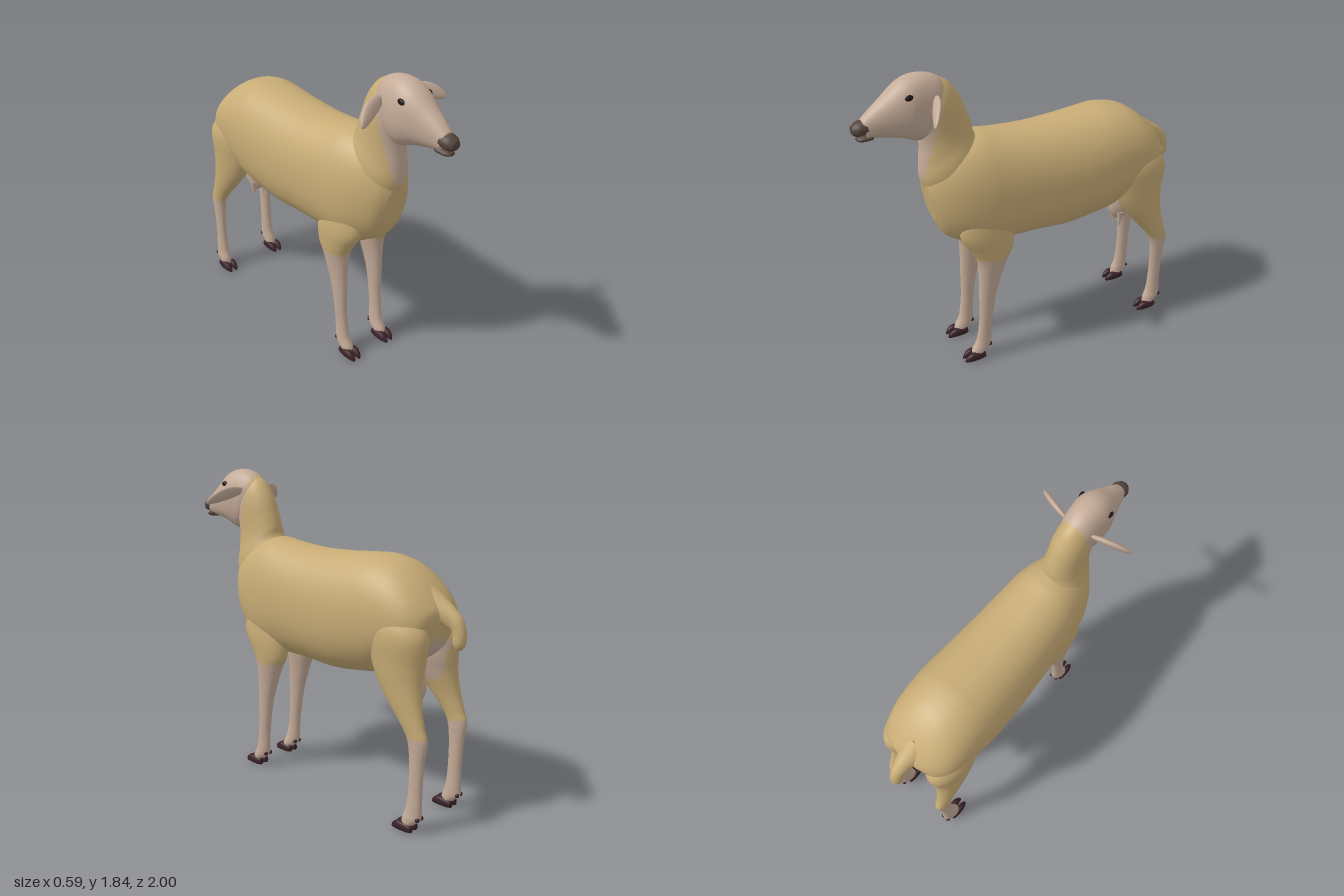
import * as THREE from 'three';

const material = (name, color) => {
  const m = new THREE.MeshStandardMaterial({ color });
  m.name = name;
  return m;
};

// Catmull-Rom through whole rows of numbers
const spline = (rows, i, t) => {
  const at = k => rows[Math.min(Math.max(k, 0), rows.length - 1)];
  const [a, b, c, d] = [at(i - 1), at(i), at(i + 1), at(i + 2)];
  return b.map((_, k) => b[k] + 0.5 * t * (c[k] - a[k] +
    t * (2 * a[k] - 5 * b[k] + 4 * c[k] - d[k] + t * (3 * (b[k] - c[k]) + d[k] - a[k]))));
};

// Smooth closed skin over rings. Each section is [y1, z1, y2, z2, halfWidth, xCentre]:
// two opposite outline points in the side plane, and the width across x.
// pick(x, y, z) gives the material slot of each face.
function loft(sections, { power = 1, steps = 5, sides = 32, pick = () => 0 } = {}) {
  const rows = sections.map(s => [...s.slice(0, 5), s[5] ?? 0]);
  const rings = [];
  for (let i = 0; i < rows.length - 1; i++)
    for (let k = 0; k < steps; k++) rings.push(spline(rows, i, k / steps));
  rings.push(rows[rows.length - 1]);
  const bulge = v => Math.sign(v) * Math.abs(v) ** power;
  const pos = [];
  for (const [y1, z1, y2, z2, w, x] of rings)
    for (let j = 0; j < sides; j++) {
      const a = (j / sides) * Math.PI * 2, s = bulge(Math.sin(a)) / 2;
      pos.push(x + w * bulge(Math.cos(a)), (y1 + y2) / 2 + (y1 - y2) * s, (z1 + z2) / 2 + (z1 - z2) * s);
    }
  const centre = r => pos.push(r[5], (r[0] + r[2]) / 2, (r[1] + r[3]) / 2) / 3 - 1;
  const first = centre(rings[0]), last = centre(rings[rings.length - 1]);
  const faces = [];
  const end = (rings.length - 1) * sides;
  for (let j = 0; j < sides; j++) {
    const n = (j + 1) % sides;
    faces.push([first, n, j], [last, end + j, end + n]);
    for (let r = 0; r < end; r += sides) faces.push([r + j, r + n, r + sides + n, r + sides + j]);
  }
  const slots = [[], []];
  const p = i => new THREE.Vector3(pos[3 * i], pos[3 * i + 1], pos[3 * i + 2]);
  const middle = p(first).lerp(p(last), 0.5);
  let volume = 0;
  for (const f of faces) {
    const c = f.reduce((v, i) => v.add(p(i)), new THREE.Vector3()).divideScalar(f.length);
    const slot = slots[pick(c.x, c.y, c.z)];
    for (let k = 2; k < f.length; k++) {
      slot.push(f[0], f[k - 1], f[k]);
      const [u, v, w] = [f[0], f[k - 1], f[k]].map(i => p(i).sub(middle));
      volume += u.dot(v.cross(w));
    }
  }
  // Make every face point outward
  if (volume < 0) for (const s of slots)
    for (let i = 0; i < s.length; i += 3) [s[i + 1], s[i + 2]] = [s[i + 2], s[i + 1]];
  const g = new THREE.BufferGeometry();
  g.setAttribute('position', new THREE.Float32BufferAttribute(pos, 3));
  g.setIndex([...slots[0], ...slots[1]]);
  g.addGroup(0, slots[0].length, 0);
  g.addGroup(slots[0].length, slots[1].length, 1);
  g.computeVertexNormals();
  return g;
}

export function createModel() {
  const model = new THREE.Group();
  model.name = 'sheep';
  const wool = material('wool', 0xc8ac76);
  const skin = material('bare skin', 0xc4ab98);
  const horn = material('hoof', 0x3a2228);
  const dark = material('nose', 0x54443c);
  const black = material('eye', 0x1e1614);
  const coat = [wool, skin];
  const add = (name, geometry, mat, parent = model) => {
    const mesh = new THREE.Mesh(geometry, mat);
    mesh.name = name;
    parent.add(mesh);
    return mesh;
  };

  // Bare face and throat, ahead of the wool line
  const bareFront = (x, y, z) => z > 0.51 + (1.8 - y) * 0.25 &&
    (y > 1.46 || (y > 1.21 && Math.abs(x) < 0.045 + (y - 1.21) * 0.17));

  // Trunk, from chest to rump, with a bare belly and groin
  add('body', loft([
    [1.22, 0.640, 0.98, 0.595, 0.07], [1.32, 0.60, 0.88, 0.55, 0.13],
    [1.42, 0.48, 0.82, 0.47, 0.19], [1.46, 0.33, 0.76, 0.36, 0.225],
    [1.445, 0.2, 0.765, 0.2, 0.238], [1.43, 0, 0.765, 0, 0.25],
    [1.435, -0.2, 0.755, -0.2, 0.262], [1.45, -0.4, 0.78, -0.4, 0.27],
    [1.455, -0.5, 0.80, -0.5, 0.268], [1.43, -0.62, 0.84, -0.58, 0.262],
    [1.38, -0.71, 0.88, -0.68, 0.25], [1.31, -0.79, 0.92, -0.76, 0.225],
    [1.24, -0.85, 0.98, -0.82, 0.17], [1.2, -0.875, 1.05, -0.85, 0.08],
  ], {
    power: 0.9, sides: 48,
    pick: (x, y, z) => +(bareFront(x, y, z) ||
      (Math.abs(x) < 0.1 && y < 0.85 && z < 0.02) || (Math.abs(x) < 0.07 && y < 1.04 && z < -0.55)),
  }), coat);

  add('neck', loft([
    [1.36, 0.2, 1.08, 0.58, 0.16], [1.455, 0.325, 1.22, 0.648, 0.138],
    [1.52, 0.345, 1.33, 0.652, 0.115], [1.6, 0.37, 1.42, 0.643, 0.105],
    [1.69, 0.405, 1.49, 0.645, 0.103], [1.77, 0.46, 1.53, 0.66, 0.098],
    [1.81, 0.52, 1.57, 0.68, 0.085],
  ], { sides: 40, pick: (x, y, z) => +bareFront(x, y, z) }), coat);

  add('head', loft([
    [1.765, 0.475, 1.57, 0.54, 0.07], [1.815, 0.525, 1.49, 0.62, 0.1],
    [1.842, 0.6, 1.482, 0.67, 0.108], [1.84, 0.68, 1.5, 0.71, 0.112],
    [1.81, 0.75, 1.515, 0.75, 0.1], [1.745, 0.83, 1.53, 0.81, 0.077],
    [1.69, 0.9, 1.54, 0.87, 0.057], [1.65, 0.945, 1.548, 0.92, 0.045],
  ], { power: 0.92, sides: 40, pick: (x, y, z) => +bareFront(x, y, z) }), coat);

  add('nose', loft([
    [1.648, 0.925, 1.575, 0.915, 0.05], [1.643, 0.965, 1.565, 0.97, 0.046],
    [1.622, 0.996, 1.58, 0.996, 0.025],
  ], { sides: 24 }), [dark, dark]);
  add('lowerLip', loft([
    [1.575, 0.89, 1.535, 0.9, 0.042], [1.565, 0.95, 1.532, 0.95, 0.034], [1.555, 0.975, 1.54, 0.975, 0.018],
  ], { sides: 24 }), [dark, dark]);

  add('tail', loft([
    [1.32, -0.78, 1.1, -0.78, 0.09], [1.265, -0.86, 1.12, -0.86, 0.06],
    [1.22, -0.925, 1.11, -0.89, 0.045], [1.17, -0.975, 1.1, -0.915, 0.037],
    [1.1, -0.998, 1.08, -0.925, 0.035], [1.04, -0.998, 1.04, -0.925, 0.033],
    [1.008, -0.98, 1.003, -0.94, 0.018],
  ], { sides: 20 }), [wool, wool]);

  const udder = add('udder', new THREE.SphereGeometry(1, 24, 16), skin);
  udder.scale.set(0.064, 0.13, 0.085);
  udder.position.set(0, 0.755, -0.675);

  // Leg outlines: front edge, back edge, half width, distance from the middle
  const foreLeg = [
    [1.1, 0.46, 1.1, 0.22, 0.06, 0.12], [0.9, 0.49, 0.88, 0.16, 0.082, 0.13],
    [0.78, 0.43, 0.76, 0.165, 0.075, 0.134], [0.7, 0.392, 0.68, 0.205, 0.065, 0.135],
    [0.58, 0.385, 0.57, 0.245, 0.049, 0.137], [0.45, 0.387, 0.45, 0.28, 0.039, 0.138],
    [0.3, 0.39, 0.3, 0.305, 0.033, 0.137], [0.2, 0.4, 0.2, 0.315, 0.032, 0.136],
    [0.12, 0.415, 0.11, 0.32, 0.036, 0.134], [0.06, 0.445, 0.07, 0.335, 0.038, 0.133],
    [0.035, 0.445, 0.04, 0.375, 0.034, 0.133],
  ];
  const hindLeg = [
    [1.25, -0.55, 1.2, -0.78, 0.07, 0.14], [1.1, -0.5, 1.08, -0.865, 0.108, 0.155],
    [0.95, -0.52, 0.92, -0.855, 0.102, 0.155], [0.82, -0.575, 0.82, -0.85, 0.083, 0.166],
    [0.7, -0.665, 0.7, -0.865, 0.059, 0.18], [0.6, -0.75, 0.6, -0.893, 0.043, 0.187],
    [0.52, -0.795, 0.53, -0.915, 0.037, 0.188], [0.4, -0.81, 0.4, -0.9, 0.031, 0.188],
    [0.25, -0.81, 0.25, -0.893, 0.03, 0.188], [0.14, -0.8, 0.13, -0.895, 0.034, 0.19],
    [0.08, -0.78, 0.08, -0.89, 0.037, 0.192], [0.035, -0.775, 0.04, -0.85, 0.034, 0.192],
  ];

  // Cloven hoof: two toes and two small claws behind
  const addHoof = (parent, x, tip, heel) => {
    for (const s of [-1, 1]) {
      const tx = x + s * 0.022, at = k => tip - 0.13 * k;
      add('toe', loft([
        [0.04, at(1), 0.004, at(1), 0.014, tx], [0.05, at(0.8), 0, at(0.8), 0.021, tx],
        [0.055, at(0.35), 0, at(0.4), 0.021, tx + s * 0.002],
        [0.035, at(0.1), 0, at(0.1), 0.013, tx], [0.016, at(0), 0.002, at(0), 0.005, tx - s * 0.003],
      ], { power: 0.8, sides: 16, steps: 3 }), [horn, horn], parent);
      const claw = add('dewclaw', new THREE.SphereGeometry(0.013, 10, 8), horn, parent);
      claw.position.set(x + s * 0.018, 0.088, heel);
    }
  };

  for (const [side, s] of [['left', 1], ['right', -1]]) {
    const flip = rows => rows.map(r => [...r.slice(0, 5), r[5] * s]);

    const fore = new THREE.Group();
    fore.name = side + 'ForeLeg';
    add('foreLeg', loft(flip(foreLeg), { sides: 24, pick: (x, y) => +(y < 0.71) }), coat, fore);
    addHoof(fore, 0.133 * s, 0.5, 0.333);

    const hind = new THREE.Group();
    hind.name = side + 'HindLeg';
    add('hindLeg', loft(flip(hindLeg), {
      sides: 28, pick: (x, y, z) => +(y < 0.54 || (Math.abs(x) < 0.1 && y < 1.02 && z < -0.66)),
    }), coat, hind);
    addHoof(hind, 0.192 * s, -0.722, -0.885);
    model.add(fore, hind);

    const teat = add(side + 'Teat', new THREE.ConeGeometry(0.024, 0.12, 16), skin);
    teat.position.set(0.038 * s, 0.635, -0.655);
    teat.rotation.x = Math.PI;

    // Drooping leaf-shaped ear
    const leaf = new THREE.SphereGeometry(1, 28, 18);
    const p = leaf.attributes.position;
    for (let i = 0; i < p.count; i++) {
      const t = p.getX(i) * s;
      p.setXYZ(i, p.getX(i) * 0.128, p.getY(i) * 0.042 * (1 - 0.15 * t * t) - 0.018 * t * t + 0.008,
        p.getZ(i) * 0.018);
    }
    leaf.computeVertexNormals();
    const ear = add(side + 'Ear', leaf, skin);
    ear.position.set(0.185 * s, 1.7, 0.605);
    ear.rotation.set(-0.45, -0.4 * s, -0.27 * s, 'YZX');

    const eye = add(side + 'Eye', new THREE.SphereGeometry(1, 16, 12), black);
    eye.scale.set(0.011, 0.016, 0.024);
    eye.position.set(0.094 * s, 1.755, 0.71);
    eye.rotation.y = 0.1 * s;
  }
  return model;
}
